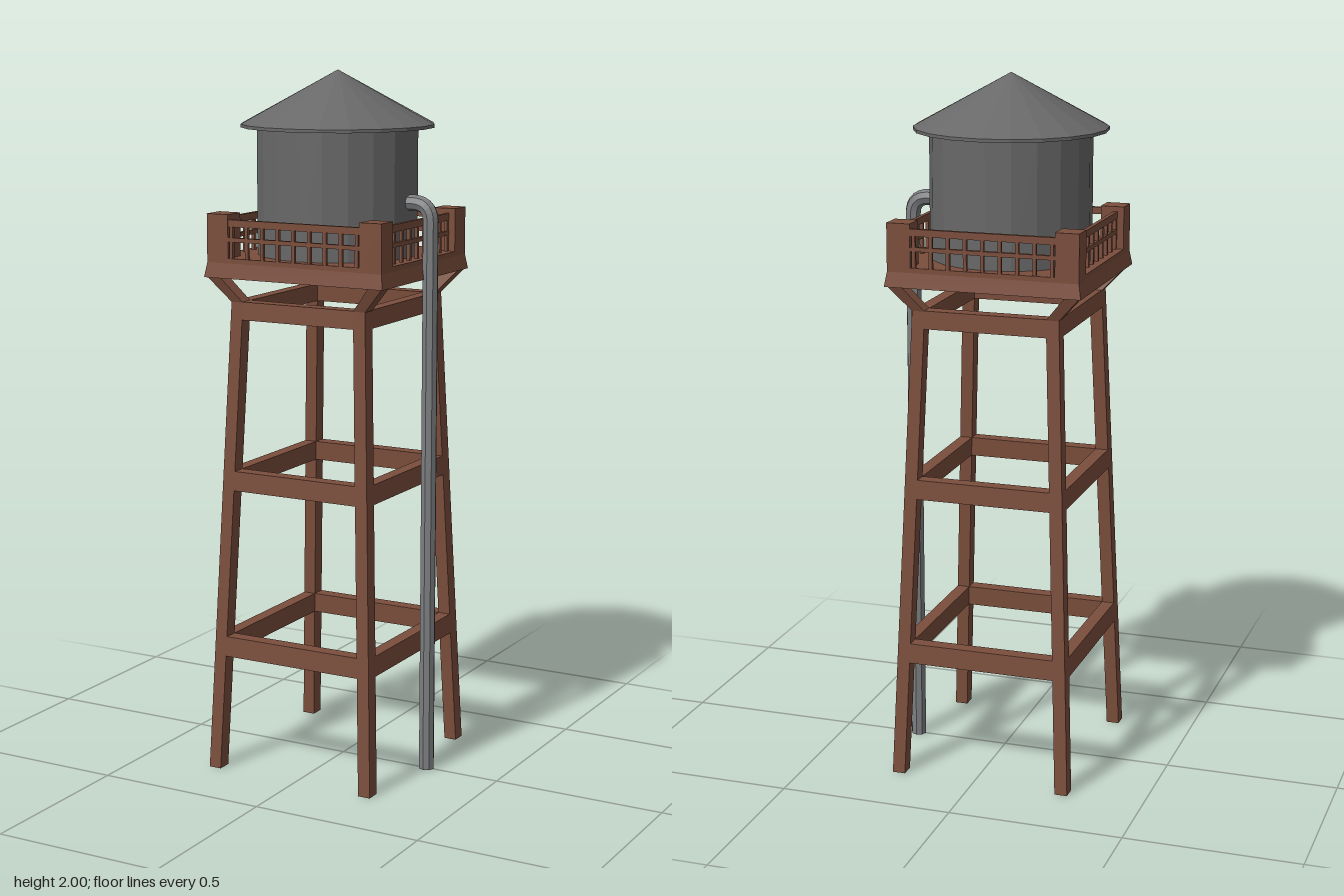
import * as THREE from 'three';

export function createModel() {
  const model = new THREE.Group();
  model.name = 'waterTower';
  const wood = new THREE.MeshStandardMaterial({ name: 'brown wood', color: 0x7b4e3c });
  const metal = new THREE.MeshStandardMaterial({ name: 'dark grey metal', color: 0x686868 });
  const steel = new THREE.MeshStandardMaterial({ name: 'pipe grey', color: 0x7c7e80 });
  for (const m of [wood, metal, steel]) m.flatShading = true;

  const tower = new THREE.Group();
  tower.name = 'tower';
  tower.position.x = -0.018;
  model.add(tower);

  const add = (name, geometry, material, parent = tower) => {
    const mesh = new THREE.Mesh(geometry, material);
    mesh.name = name;
    parent.add(mesh);
    return mesh;
  };

  // Six-sided block between a lower and an upper rectangle [xa, xb, za, zb]
  const block = (name, y0, lower, y1, upper = lower) => {
    const g = new THREE.BoxGeometry(1, 1, 1);
    const p = g.attributes.position;
    for (let i = 0; i < p.count; i++) {
      const top = p.getY(i) > 0;
      const [xa, xb, za, zb] = top ? upper : lower;
      p.setXYZ(i,
        p.getX(i) > 0 ? Math.max(xa, xb) : Math.min(xa, xb),
        top ? y1 : y0,
        p.getZ(i) > 0 ? Math.max(za, zb) : Math.min(za, zb));
    }
    g.computeVertexNormals();
    return add(name, g, wood);
  };

  // Outer leg faces at height y
  const legTop = 1.363, legW = 0.037, legD = 0.042;
  const legX = y => 0.264 - 0.052 * y / legTop;
  const legZ = y => 0.295 - 0.063 * y / legTop;

  // Legs, flared brackets and corner posts
  for (const sx of [-1, 1]) for (const sz of [-1, 1]) {
    const legRect = y => [sx * (legX(y) - legW), sx * legX(y), sz * (legZ(y) - legD), sz * legZ(y)];
    block('leg', 0, legRect(0), legTop, legRect(legTop));
    block('bracket', legTop - 0.002, legRect(legTop), 1.432,
      [sx * 0.235, sx * 0.277, sz * 0.213, sz * 0.257]);
    block('cornerPost', 1.47, [sx * 0.207, sx * 0.275, sz * 0.19, sz * 0.257], 1.608);
  }

  // Three levels of cross beams, flush with the sloping legs
  for (const [y0, y1] of [[0.338, 0.396], [0.824, 0.88], [1.312, legTop]]) {
    for (const s of [-1, 1]) {
      const alongX = y => [-(legX(y) - legW), legX(y) - legW, s * (legZ(y) - legD), s * legZ(y)];
      const alongZ = y => [s * (legX(y) - legW), s * legX(y), -(legZ(y) - legD), legZ(y) - legD];
      block('crossBeam', y0, alongX(y0), y1, alongX(y1));
      block('crossBeam', y0, alongZ(y0), y1, alongZ(y1));
    }
  }

  // Deck with a flared lower edge
  block('deckEdge', 1.43, [-0.282, 0.282, -0.264, 0.264], 1.472, [-0.275, 0.275, -0.257, 0.257]);
  block('deck', 1.472, [-0.275, 0.275, -0.257, 0.257], 1.486);

  // Railings: two rails and nine balusters per side
  for (const s of [-1, 1]) {
    for (const [y0, y1] of [[1.574, 1.594], [1.532, 1.544]]) {
      block('rail', y0, [-0.207, 0.207, s * 0.244, s * 0.256], y1);
      block('rail', y0, [s * 0.244, s * 0.256, -0.19, 0.19], y1);
    }
    for (let i = -4; i <= 4; i++) {
      const x = i * 0.0495, z = i * 0.0465;
      block('baluster', 1.48, [x - 0.005, x + 0.005, s * 0.245, s * 0.255], 1.58);
      block('baluster', 1.48, [s * 0.245, s * 0.255, z - 0.005, z + 0.005], 1.58);
    }
  }

  // Tank and conical roof, 20 sides
  const tank = new THREE.CylinderGeometry(0.228, 0.228, 0.37, 20);
  add('tank', tank, metal).position.y = 1.665;
  const eave = new THREE.CylinderGeometry(0.273, 0.273, 0.009, 20);
  add('roofEave', eave, metal).position.y = 1.8465;
  const roof = new THREE.ConeGeometry(0.273, 0.149, 20, 1, true);
  add('roof', roof, metal).position.y = 1.9255;

  // Outlet pipe: horizontal stub, bend, then straight down to the ground
  const px = 0.275, py = 1.64, bend = 0.05, r = 0.0225;
  const path = new THREE.CurvePath();
  const v = (x, y) => new THREE.Vector3(x, y, 0);
  const elbow = new THREE.QuadraticBezierCurve3(v(px - bend, py), v(px, py), v(px, py - bend));
  path.add(new THREE.LineCurve3(v(0.17, py), v(px - bend, py)));
  path.add(elbow);
  const pipe = new THREE.Group();
  pipe.name = 'pipe';
  model.add(pipe);
  add('pipeBend', new THREE.TubeGeometry(path, 12, r, 8), steel, pipe);
  const drop = py - bend;
  add('pipeDrop', new THREE.CylinderGeometry(r, r, drop, 8), steel, pipe).position.set(px, drop / 2, 0);

  return model;
}
